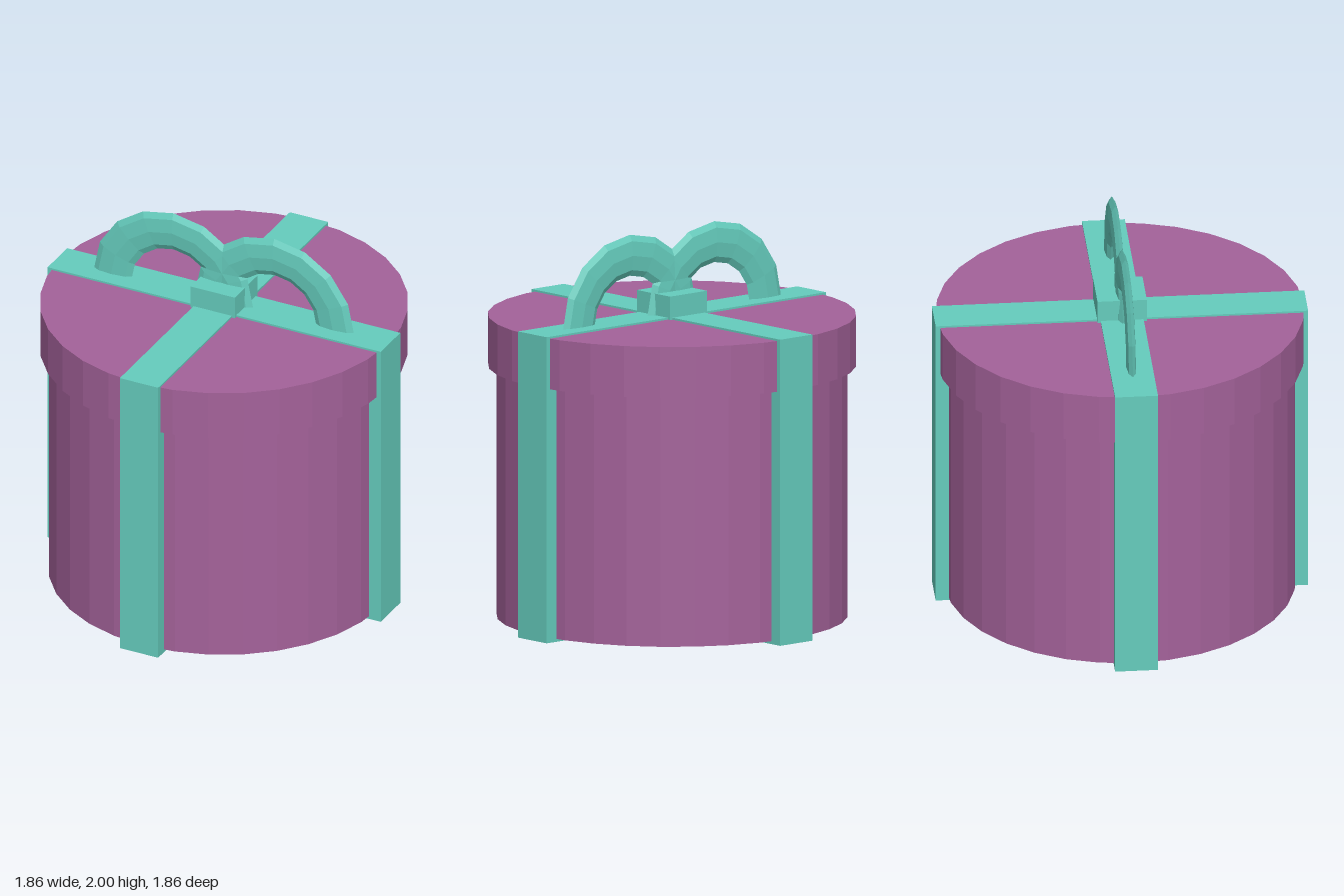
import * as THREE from 'three';

export function createModel() {
  const purple = new THREE.MeshStandardMaterial({ color: 0xa4629a, flatShading: true });
  purple.name = 'purple card';
  const teal = new THREE.MeshStandardMaterial({ color: 0x65ccbd, flatShading: true });
  teal.name = 'teal ribbon';

  const model = new THREE.Group();
  model.name = 'giftBox';

  const add = (parent, name, geometry, material, x = 0, y = 0, z = 0) => {
    const mesh = new THREE.Mesh(geometry, material);
    mesh.name = name;
    mesh.position.set(x, y, z);
    parent.add(mesh);
    return mesh;
  };

  // Round box and its wider lid
  const drum = (radius, bottom, top) =>
    new THREE.CylinderGeometry(radius, radius, top - bottom, 32).translate(0, (top + bottom) / 2, 0);
  add(model, 'boxBody', drum(0.887, 0.015, 1.4), purple);
  add(model, 'lid', drum(0.93, 1.3, 1.56), purple);

  // Everything tied around the box shares one turn about the vertical axis
  const wrapping = new THREE.Group();
  wrapping.name = 'wrapping';
  wrapping.rotation.y = -THREE.MathUtils.degToRad(55.8);
  model.add(wrapping);

  // Two crossing ribbons, running over the top, sides and bottom
  const ribbon = new THREE.BoxGeometry(1.886, 1.57, 0.217);
  add(wrapping, 'ribbonLong', ribbon, teal, 0, 0.785, 0);
  add(wrapping, 'ribbonCross', ribbon, teal, 0, 0.785, 0).rotation.y = Math.PI / 2;

  // Square knot
  add(wrapping, 'knot', new THREE.BoxGeometry(0.25, 0.12, 0.25), teal, 0, 1.62, 0);

  // Bow: two flattened half rings that overlap in the middle
  const loop = new THREE.TorusGeometry(0.345, 0.107, 8, 8, Math.PI).scale(1, 0.98, 0.23);
  for (const side of [-1, 1]) {
    add(wrapping, side < 0 ? 'bowLoopBack' : 'bowLoopFront', loop, teal, side * 0.285, 1.557, 0);
  }

  return model;
}
